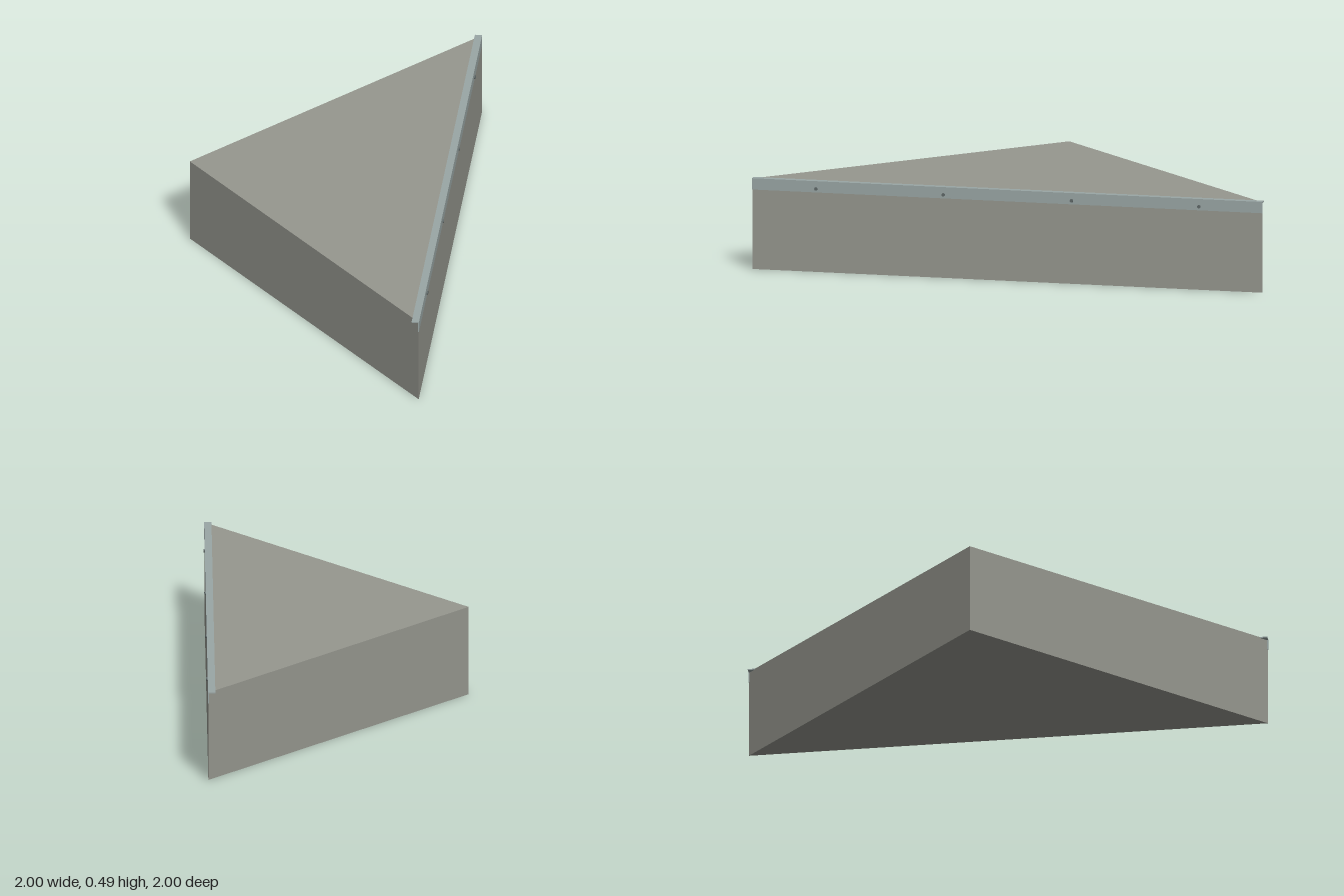
import * as THREE from 'three';

const HEIGHT = 0.49;

// Extrude a profile given as [x, y] points
function extrude(points, depth) {
  const shape = new THREE.Shape(points.map(([x, y]) => new THREE.Vector2(x, y)));
  return new THREE.ExtrudeGeometry(shape, { depth, bevelEnabled: false });
}

function addMesh(parent, name, geometry, color) {
  const mesh = new THREE.Mesh(geometry, new THREE.MeshStandardMaterial({ color }));
  mesh.name = name;
  parent.add(mesh);
  return mesh;
}

export function createModel() {
  const model = new THREE.Group();
  model.name = 'triangularSlab';

  // Right-triangle slab, its plan drawn as (x, -z)
  const plan = [[-0.972, -0.971], [0.998, -0.971], [-0.972, 0.999]];
  const slab = extrude(plan, HEIGHT);
  slab.rotateX(-Math.PI / 2);
  addMesh(model, 'slab', slab, 0x96978f);

  // Edge guard: local x points out of the sloping side, local z runs along it
  const guard = new THREE.Group();
  guard.name = 'edgeGuard';
  guard.rotation.y = Math.PI / 4;
  model.add(guard);

  // L-shaped angle bar wrapped over the top edge
  const length = 2.788, outer = 0.0205, inner = -0.0185, thick = 0.006;
  const top = HEIGHT + 0.001, bottom = 0.43;
  const angle = extrude([
    [inner, top - thick], [outer - thick, top - thick], [outer - thick, bottom],
    [outer, bottom], [outer, top], [inner, top],
  ], length);
  angle.translate(0, 0, -length / 2);
  addMesh(guard, 'angleBar', angle, 0x9aa6a5);

  // Four bolts along the upright leg
  for (const z of [-1.048, -0.352, 0.348, 1.044]) {
    const bolt = new THREE.CylinderGeometry(0.009, 0.009, 0.018, 12);
    bolt.rotateZ(-Math.PI / 2);
    addMesh(guard, 'bolt', bolt, 0x5f6868).position.set(outer - 0.002, 0.45, z);
  }

  return model;
}
